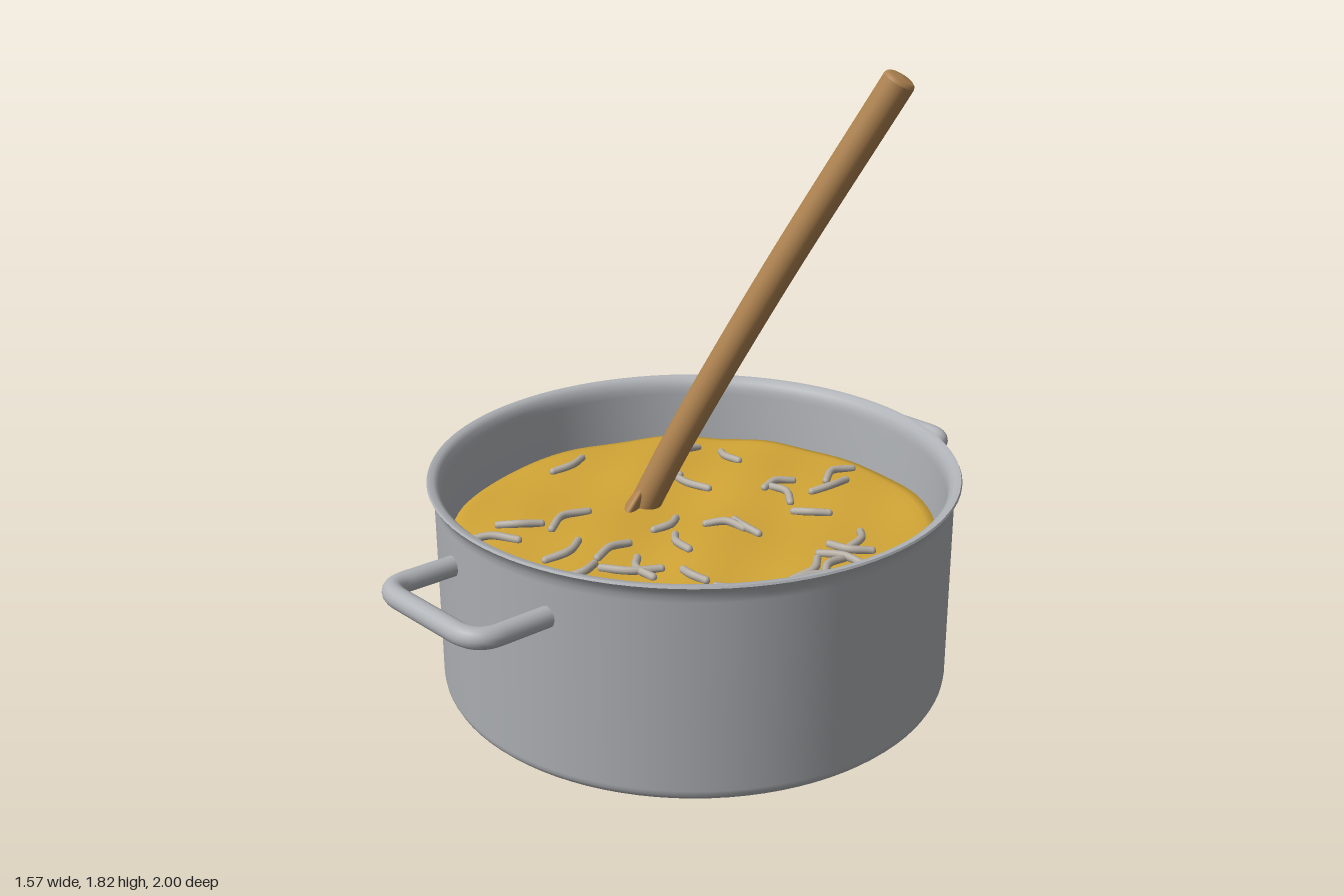
import * as THREE from 'three';
import { mergeVertices, toCreasedNormals } from 'three/addons/utils/BufferGeometryUtils.js';

const steel = new THREE.MeshStandardMaterial({ color: 0xb0b3b7 });
steel.name = 'steel';
const wood = new THREE.MeshStandardMaterial({ color: 0xaf8350 });
wood.name = 'wood';
const broth = new THREE.MeshStandardMaterial({ color: 0xd2a536 });
broth.name = 'broth';
const pasta = new THREE.MeshStandardMaterial({ color: 0xb5aea4 });
pasta.name = 'pasta';

const v2 = (x, y) => new THREE.Vector2(x, y);
const v3 = (x, y, z) => new THREE.Vector3(x, y, z);

function addMesh(parent, name, geometry, material) {
  const mesh = new THREE.Mesh(geometry, material);
  mesh.name = name;
  parent.add(mesh);
  return mesh;
}

// Gently rippled height of the soup surface
const soupHeight = (x, z) =>
  0.455 + 0.006 * Math.sin(9 * x + 2 * z) * Math.cos(8 * z - 3 * x) + 0.004 * Math.sin(17 * x - 11 * z);

// Pot: outer wall, flared rim, inner wall and floor in one profile
function potGeometry() {
  const profile = [v2(0, 0), v2(0.725, 0)];
  for (let i = 1; i <= 5; i++) {
    const a = (i / 5) * Math.PI / 2;
    profile.push(v2(0.725 + 0.04 * Math.sin(a), 0.04 - 0.04 * Math.cos(a)));
  }
  profile.push(
    v2(0.765, 0.6), v2(0.768, 0.62), v2(0.776, 0.638), v2(0.785, 0.65), v2(0.782, 0.656),
    v2(0.765, 0.654), v2(0.752, 0.642), v2(0.745, 0.62), v2(0.743, 0.6),
    v2(0.743, 0.05), v2(0.72, 0.025), v2(0, 0.025)
  );
  return toCreasedNormals(new THREE.LatheGeometry(profile, 96), 0.7);
}

// Soup: disc with an uneven edge and a rippled top
function soupGeometry() {
  const profile = [v2(0.735, 0.34), v2(0.735, 0.43), v2(0.728, 0.45)];
  for (let i = 1; i <= 24; i++) profile.push(v2(0.728 * (1 - i / 24), 0.455));
  let geometry = new THREE.LatheGeometry(profile, 96);
  geometry.deleteAttribute('uv');
  geometry.deleteAttribute('normal');
  const p = geometry.attributes.position;
  for (let i = 0; i < p.count; i++) {
    const x = p.getX(i), y = p.getY(i), z = p.getZ(i);
    const a = Math.atan2(z, x);
    const s = 1 + 0.006 * Math.sin(5 * a + 1) * Math.min(1, Math.hypot(x, z));
    p.setXYZ(i, x * s, y + soupHeight(x, z) - 0.455, z * s);
  }
  geometry = mergeVertices(geometry, 1e-5);
  geometry.computeVertexNormals();
  return geometry;
}

// Handle: rounded U of round bar, rising slightly outwards
function handleGeometry() {
  const path = new THREE.CurvePath();
  const x = 0.205, zi = 0.74, zo = 0.97, yi = 0.508, yo = 0.52, r = 0.075;
  const yc = yo - 0.004;
  path.add(new THREE.LineCurve3(v3(-x, yi, zi), v3(-x, yc, zo - r)));
  path.add(new THREE.QuadraticBezierCurve3(v3(-x, yc, zo - r), v3(-x, yo, zo - 0.005), v3(-x + r, yo, zo)));
  path.add(new THREE.LineCurve3(v3(-x + r, yo, zo), v3(x - r, yo, zo)));
  path.add(new THREE.QuadraticBezierCurve3(v3(x - r, yo, zo), v3(x, yo, zo - 0.005), v3(x, yc, zo - r)));
  path.add(new THREE.LineCurve3(v3(x, yc, zo - r), v3(x, yi, zi)));
  return new THREE.TubeGeometry(path, 64, 0.03, 16);
}

// Spoon: slightly bowed stick with a capped end and a flat bowl sunk in the soup
function buildSpoon() {
  const spoon = new THREE.Group();
  spoon.name = 'spoon';
  const curve = new THREE.CatmullRomCurve3([
    v3(-0.25, 0.4, 0.0), v3(-0.14, 0.655, -0.055), v3(0.118, 1.2, -0.195), v3(0.42, 1.795, -0.36)
  ]);
  const radius = 0.047;
  addMesh(spoon, 'spoonStick', new THREE.TubeGeometry(curve, 40, radius, 24), wood);

  const tip = curve.getTangentAt(1);
  const cap = addMesh(spoon, 'stickEnd', new THREE.LatheGeometry(
    [v2(radius, 0), v2(radius * 0.93, 0.007), v2(radius * 0.75, 0.012), v2(0, 0.015)], 24), wood);
  cap.position.copy(curve.getPointAt(1));
  cap.quaternion.setFromUnitVectors(v3(0, 1, 0), tip);

  // Bowl axes: along the stick, across it on the level, and its thickness
  const along = curve.getTangentAt(0);
  const across = v3(0.5, 0, 0.87).addScaledVector(along, -along.dot(v3(0.5, 0, 0.87))).normalize();
  const thick = v3().crossVectors(across, along);
  const bowl = addMesh(spoon, 'spoonBowl', new THREE.SphereGeometry(1, 32, 20), wood);
  bowl.scale.set(0.125, 0.19, 0.032);
  bowl.quaternion.setFromRotationMatrix(new THREE.Matrix4().makeBasis(across, along, thick));
  bowl.position.copy(v3(-0.25, 0.46, 0)).addScaledVector(along, -0.125);
  return spoon;
}

// Noodle ends on the soup: x1, z1, x2, z2 in hundredths
const noodleEnds = [
  [-43, -44, -46, -32], [-35, -47, -24, -44], [-39, -18, -30, -23], [-31, -21, -16, -22],
  [-62, -9, -60, 5], [6, -66, 7, -52], [11, -57, 9, -43], [-1, -45, -3, -34],
  [-3, -36, 9, -33], [14, -29, 23, -35], [38, -32, 43, -21], [38, -18, 49, -24],
  [40, -11, 54, -15], [47, -14, 51, -1], [42, -8, 45, 6], [51, -5, 47, 12],
  [52, -4, 61, -1], [59, -4, 61, 10], [54, 12, 69, 6], [1, 9, 12, 14],
  [-8, 0, -6, 11], [7, -10, 18, -9], [3, -2, 13, -8], [-29, 17, -27, 33],
  [-32, 33, -40, 43], [-28, 45, -39, 58], [-15, 33, -13, 47], [-4, 23, -3, 36],
  [-1, 39, 0, 50], [4, 27, 16, 32], [14, 27, 2, 39], [20, 24, 29, 24],
  [33, 24, 47, 22], [41, 35, 54, 24], [50, 22, 49, 38], [51, 30, 63, 21]
];

function buildNoodles() {
  const noodles = new THREE.Group();
  noodles.name = 'noodles';
  noodleEnds.forEach((ends, i) => {
    const [x1, z1, x2, z2] = ends.map((n) => n / 100);
    const bend = (i % 2 ? 1 : -1) * (0.1 + 0.05 * (i % 3));
    const at = (x, z, lift) => v3(x, soupHeight(x, z) + lift, z);
    const a = at(x1, z1, 0.006);
    const b = at((x1 + x2) / 2 - (z2 - z1) * bend, (z1 + z2) / 2 + (x2 - x1) * bend, 0.012);
    const c = at(x2, z2, 0.006);
    const curve = new THREE.CatmullRomCurve3([a, b, c]);
    addMesh(noodles, 'noodle', new THREE.TubeGeometry(curve, 10, 0.012, 10), pasta);
    for (const end of [a, c]) {
      addMesh(noodles, 'noodleEnd', new THREE.SphereGeometry(0.012, 10, 6), pasta).position.copy(end);
    }
  });
  return noodles;
}

export function createModel() {
  const model = new THREE.Group();
  model.name = 'soupPot';
  addMesh(model, 'pot', potGeometry(), steel);
  addMesh(model, 'frontHandle', handleGeometry(), steel);
  addMesh(model, 'backHandle', handleGeometry(), steel).rotation.y = Math.PI;
  addMesh(model, 'soup', soupGeometry(), broth);
  model.add(buildNoodles(), buildSpoon());
  return model;
}
